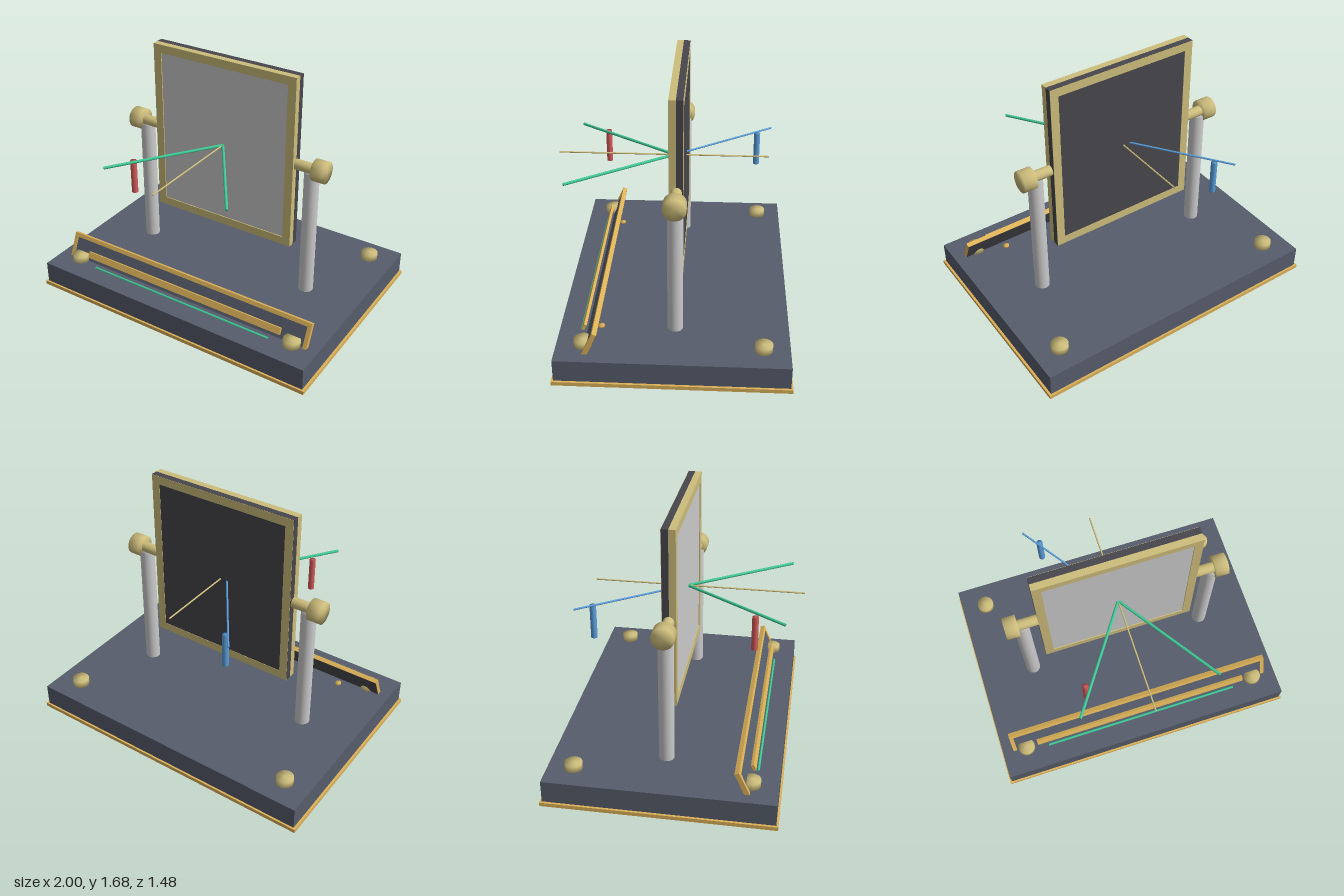
import * as THREE from 'three';
import { mergeVertices } from 'three/addons/utils/BufferGeometryUtils.js';

const mat = (color) => new THREE.MeshStandardMaterial({ color });

export function createModel() {
  const model = new THREE.Group();
  const dark = mat(0x565d6b), charcoal = mat(0x47464c), grey = mat(0xcccccc);
  const gold = mat(0xdcb158), brass = mat(0xcdbd7c), green = mat(0x3fc795);
  const red = mat(0xd45c5c), blue = mat(0x5b9fdc);
  const AXIS_Y = 1.105, AXIS_Z = -0.03;

  function add(name, geometry, material, x, y, z, parent = model) {
    const mesh = new THREE.Mesh(geometry, material);
    mesh.name = name;
    mesh.position.set(x, y, z);
    parent.add(mesh);
    return mesh;
  }
  const box = (name, m, w, h, d, x, y, z, parent) =>
    add(name, new THREE.BoxGeometry(w, h, d), m, x, y, z, parent);

  // Cylinder whose normals run softly across the rims
  function softCylinder(rTop, rBottom, h, sides = 32) {
    const g = new THREE.CylinderGeometry(rTop, rBottom, h, sides);
    g.deleteAttribute('uv');
    g.deleteAttribute('normal');
    const merged = mergeVertices(g, 1e-5);
    merged.computeVertexNormals();
    return merged;
  }

  // Rectangular frame centred on its own middle
  function frameGeometry(w, h, border, depth) {
    const rect = (target, a, b) => target.moveTo(-a, -b).lineTo(a, -b).lineTo(a, b).lineTo(-a, b).closePath();
    const shape = rect(new THREE.Shape(), w / 2, h / 2);
    shape.holes.push(rect(new THREE.Path(), w / 2 - border, h / 2 - border));
    return new THREE.ExtrudeGeometry(shape, { depth, bevelEnabled: false }).translate(0, 0, -depth / 2);
  }

  // Thin rod between two points
  function rod(name, material, from, to, radius) {
    const a = new THREE.Vector3(...from), b = new THREE.Vector3(...to);
    const mid = a.clone().add(b).multiplyScalar(0.5);
    const mesh = add(name, softCylinder(radius, radius, a.distanceTo(b), 12), material, mid.x, mid.y, mid.z);
    mesh.quaternion.setFromUnitVectors(new THREE.Vector3(0, 1, 0), b.sub(a).normalize());
  }

  // Base with a metal skirt
  box('base', dark, 1.97, 0.168, 1.41, 0, 0.136, -0.027);
  box('baseTrim', gold, 2, 0.025, 1.435, 0, 0.0625, -0.027);

  // Posts, axles and clamp knobs
  for (const s of [-1, 1]) {
    add('post', softCylinder(0.048, 0.048, 0.87), grey, s * 0.618, 0.645, AXIS_Z);
    add('axle', softCylinder(0.034, 0.034, 0.18), brass, s * 0.575, AXIS_Y, AXIS_Z).rotation.z = Math.PI / 2;
    add('clampKnob', softCylinder(0.07, 0.07, 0.085), brass, s * 0.678, AXIS_Y, AXIS_Z).rotation.z = Math.PI / 2;
    for (const z of [0.515, -0.57]) add('baseKnob', softCylinder(0.055, 0.055, 0.05), brass, s * 0.818, 0.24, z);
    add('smallPin', softCylinder(0.02, 0.02, 0.015, 16), gold, s * 0.635, 0.225, 0.425);
  }

  // Upright framed panel
  add('panelFrame', frameGeometry(1.02, 1.16, 0.055, 0.043), brass, 0, AXIS_Y, -0.0065);
  box('panelFace', grey, 0.92, 1.06, 0.03, 0, AXIS_Y, -0.006);
  box('panelBack', charcoal, 1.02, 1.16, 0.042, 0, AXIS_Y, -0.049);
  add('panelBackTrim', frameGeometry(1.018, 1.158, 0.055, 0.004), brass, 0, AXIS_Y, -0.07);

  // Rods meeting at the panel's middle
  for (const s of [-1, 1]) rod('greenRod', green, [0, AXIS_Y, 0.005], [s * 0.44, AXIS_Y, 0.645], 0.009);
  rod('normalRod', brass, [0, AXIS_Y, -0.59], [0, AXIS_Y, 0.74], 0.005);
  rod('blueRod', blue, [0, AXIS_Y, 0], [-0.44, AXIS_Y, -0.62], 0.006);

  // Hanging markers
  add('redMarker', softCylinder(0.02, 0.02, 0.22, 20), red, -0.355, 0.99, 0.465);
  add('blueMarker', softCylinder(0.02, 0.02, 0.22, 20), blue, -0.355, 0.99, -0.525);

  // Tilted board that passes through the base
  const board = new THREE.Group();
  board.name = 'tiltedBoard';
  board.position.set(0, 0.188, 0.51);
  board.rotation.x = -0.42;
  model.add(board);
  add('boardFrame', frameGeometry(1.825, 0.385, 0.026, 0.03), gold, 0, 0, 0, board);
  box('boardPanel', dark, 1.78, 0.34, 0.022, 0, 0, -0.003, board);
  box('boardBack', charcoal, 1.82, 0.38, 0.003, 0, 0, -0.0145, board);
  box('boardBar', gold, 1.48, 0.042, 0.018, 0, 0.088, 0.046, board);

  // Green rod lying on the base
  rod('baseRod', green, [-0.67, 0.22, 0.542], [0.67, 0.22, 0.542], 0.008);

  return model;
}
